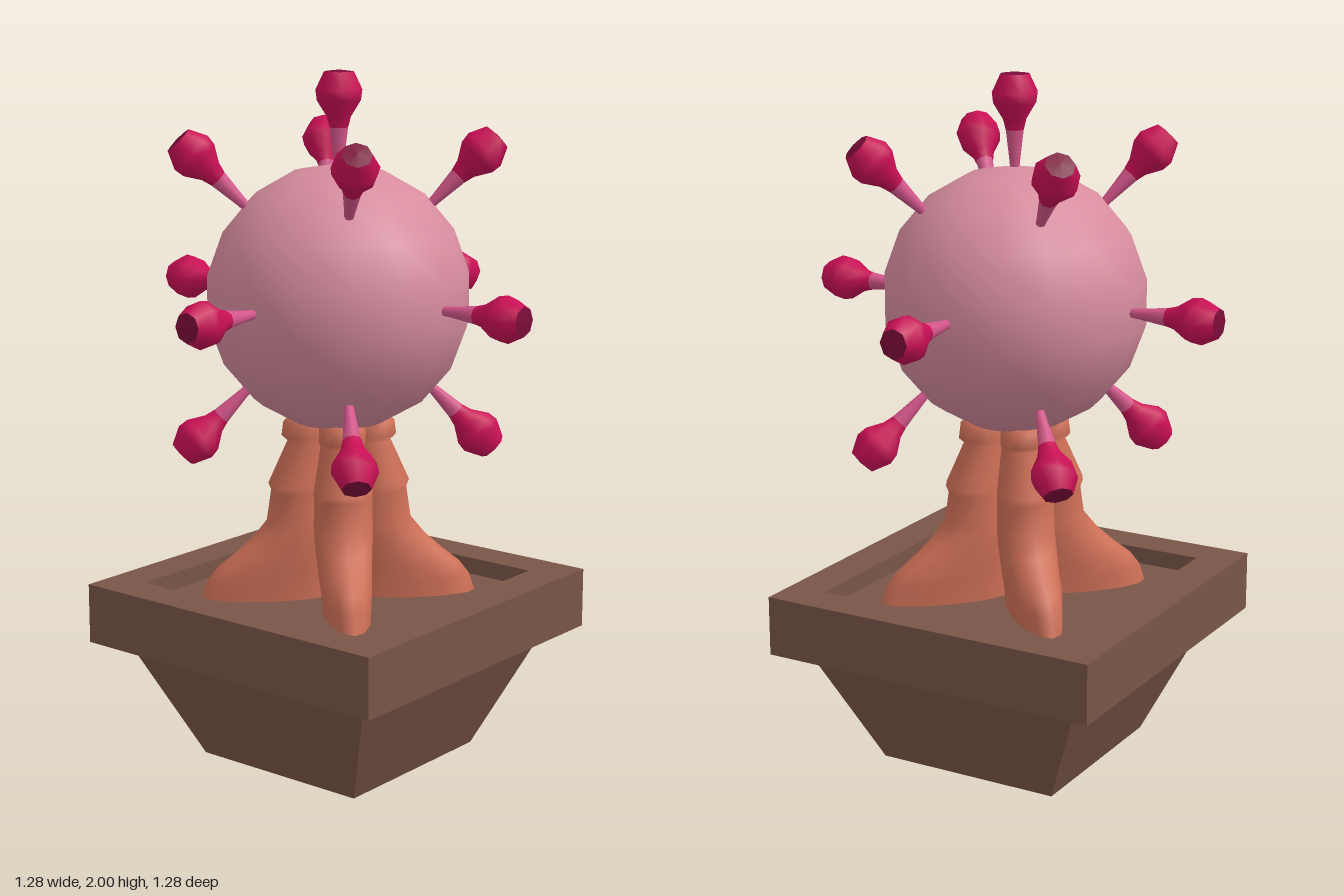
import * as THREE from 'three';

const mat = (name, color, extra = {}) => {
  const m = new THREE.MeshStandardMaterial({ color, ...extra });
  m.name = name;
  return m;
};

function add(parent, name, geometry, material, y = 0) {
  const mesh = new THREE.Mesh(geometry, material);
  mesh.name = name;
  mesh.position.y = y;
  parent.add(mesh);
  return mesh;
}

// One trunk lobe: ellipses stacked along y, stretched outwards along +x into a root.
// Each section is [height, centre distance, half length, half width].
function lobeGeometry(sections, sides) {
  const pos = [], idx = [];
  for (const [y, d, a, b] of sections) {
    for (let i = 0; i < sides; i++) {
      const t = (i / sides) * Math.PI * 2;
      pos.push(d + a * Math.cos(t), y, b * Math.sin(t));
    }
  }
  for (let r = 0; r < sections.length - 1; r++) {
    for (let i = 0; i < sides; i++) {
      const j = (i + 1) % sides, p = r * sides, q = p + sides;
      idx.push(p + i, q + i, p + j, p + j, q + i, q + j);
    }
  }
  const g = new THREE.BufferGeometry();
  g.setAttribute('position', new THREE.Float32BufferAttribute(pos, 3));
  g.setIndex(idx);
  g.computeVertexNormals();
  return g;
}

const lathe = (points, sides) =>
  new THREE.LatheGeometry(points.map(([r, y]) => new THREE.Vector2(r, y)), sides);

export function createModel() {
  const model = new THREE.Group();
  const brown = mat('pot brown', 0x795548);
  const bark = mat('bark orange', 0xcf7057);
  const pink = mat('ball pink', 0xd78c9e);
  const stemPink = mat('stem pink', 0xd4568a);
  const crimson = mat('knob crimson', 0xc90f55);
  const dark = mat('knob tip dark', 0x7d0c3a);

  // Square tapered pot with a framed rim and sunken soil
  const pot = new THREE.Group();
  pot.name = 'pot';
  model.add(pot);
  const body = new THREE.CylinderGeometry(0.44 * Math.SQRT2, 0.28 * Math.SQRT2, 0.36, 4).toNonIndexed();
  body.rotateY(Math.PI / 4);
  body.computeVertexNormals();
  add(pot, 'potBody', body, brown, 0.18);

  const square = (path, s) => path.moveTo(-s, -s).lineTo(s, -s).lineTo(s, s).lineTo(-s, s).closePath();
  const frame = new THREE.Shape();
  square(frame, 0.515);
  const hole = new THREE.Path();
  square(hole, 0.4);
  frame.holes.push(hole);
  const rim = new THREE.ExtrudeGeometry(frame, { depth: 0.175, bevelEnabled: false });
  rim.rotateX(-Math.PI / 2);
  add(pot, 'potRim', rim, brown, 0.355);
  add(pot, 'soil', new THREE.BoxGeometry(0.8, 0.1, 0.8), brown, 0.43);

  // Trunk of four lobes, each running out to a corner as a root
  const trunk = new THREE.Group();
  trunk.name = 'trunk';
  model.add(trunk);
  const lobe = lobeGeometry([
    [0.47, 0.21, 0.195, 0.065], [0.53, 0.2, 0.185, 0.07], [0.57, 0.185, 0.17, 0.075],
    [0.61, 0.16, 0.145, 0.078], [0.66, 0.135, 0.115, 0.083], [0.71, 0.12, 0.09, 0.085],
    [0.80, 0.115, 0.082, 0.084], [0.82, 0.12, 0.085, 0.085], [0.945, 0.087, 0.062, 0.062],
    [0.96, 0.096, 0.07, 0.068], [1.0, 0.093, 0.068, 0.066], [1.015, 0.085, 0.05, 0.05],
    [1.02, 0.08, 0.001, 0.001],
  ], 12);
  for (let i = 0; i < 4; i++) {
    add(trunk, 'trunkLobe', lobe, bark).rotation.y = Math.PI / 4 + i * Math.PI / 2;
  }

  // Ball
  add(model, 'ball', new THREE.SphereGeometry(0.38, 16, 9), pink, 1.36);

  // Spikes: a thin stem, a swelling knob and a flat tip
  const stem = lathe([[0.012, 0.35], [0.015, 0.39], [0.026, 0.48]], 8);
  const knob = lathe([[0.026, 0.48], [0.034, 0.51], [0.062, 0.555], [0.066, 0.585], [0.042, 0.635]], 8);
  const tip = lathe([[0.042, 0.635], [0, 0.64]], 8);
  const spikes = new THREE.Group();
  spikes.name = 'spikes';
  spikes.position.y = 1.36;
  model.add(spikes);
  const up = new THREE.Vector3(0, 1, 0);
  const addSpike = (elevation, azimuth) => {
    const spike = new THREE.Group();
    spike.name = 'spike';
    const dir = new THREE.Vector3().setFromSphericalCoords(1, Math.PI / 2 - elevation, azimuth);
    spike.quaternion.setFromUnitVectors(up, dir);
    add(spike, 'spikeStem', stem, stemPink);
    add(spike, 'spikeKnob', knob, crimson);
    add(spike, 'spikeTip', tip, dark);
    spikes.add(spike);
  };
  addSpike(Math.PI / 2, 0);
  for (let i = 0; i < 4; i++) {
    const a = i * Math.PI / 2;
    addSpike(0, a);
    addSpike(Math.PI / 4, a + Math.PI / 4);
    addSpike(-Math.PI / 4, a + Math.PI / 4);
  }
  return model;
}
